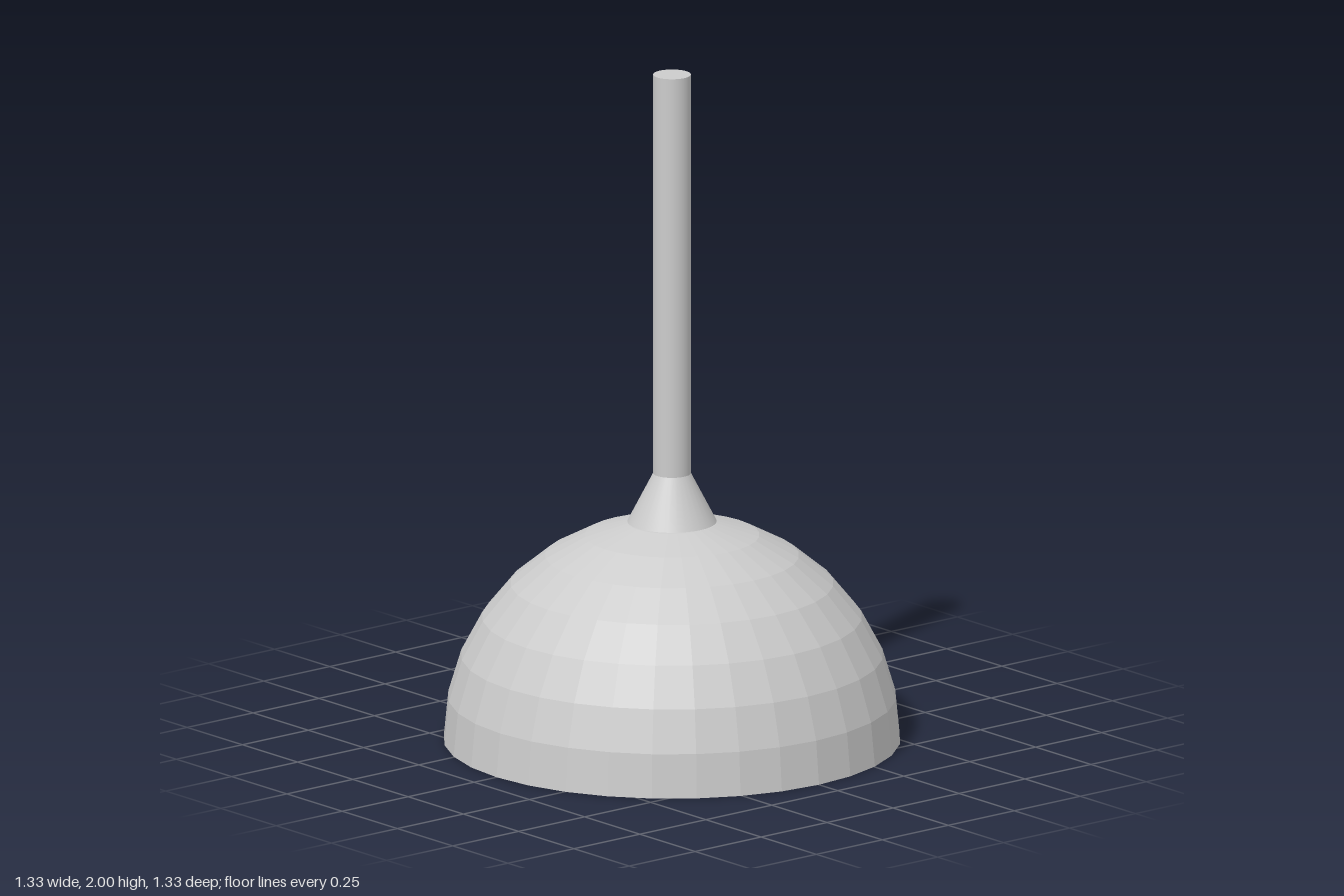
import * as THREE from 'three';

export function createModel() {
  const model = new THREE.Group();
  const grey = new THREE.MeshStandardMaterial({ color: 0xcccccc });
  const faceted = new THREE.MeshStandardMaterial({
    color: 0xcccccc, flatShading: true, side: THREE.DoubleSide,
  });

  const add = (name, geometry, material, y) => {
    const mesh = new THREE.Mesh(geometry, material);
    mesh.name = name;
    mesh.position.y = y;
    model.add(mesh);
  };

  const radius = 0.665;
  const shaftRadius = 0.055;
  const collarBottom = 0.655, collarTop = 0.8, top = 2;

  // Open, faceted half-sphere cup
  add('cup', new THREE.SphereGeometry(radius, 32, 8, 0, Math.PI * 2, 0, Math.PI / 2), faceted, 0);

  // Tapered collar joining cup and handle
  const collarHeight = collarTop - collarBottom;
  add('collar', new THREE.CylinderGeometry(shaftRadius, 0.13, collarHeight, 32), grey,
    collarBottom + collarHeight / 2);

  // Straight round handle
  const handleHeight = top - collarTop;
  add('handle', new THREE.CylinderGeometry(shaftRadius, shaftRadius, handleHeight, 32), grey,
    collarTop + handleHeight / 2);

  return model;
}
